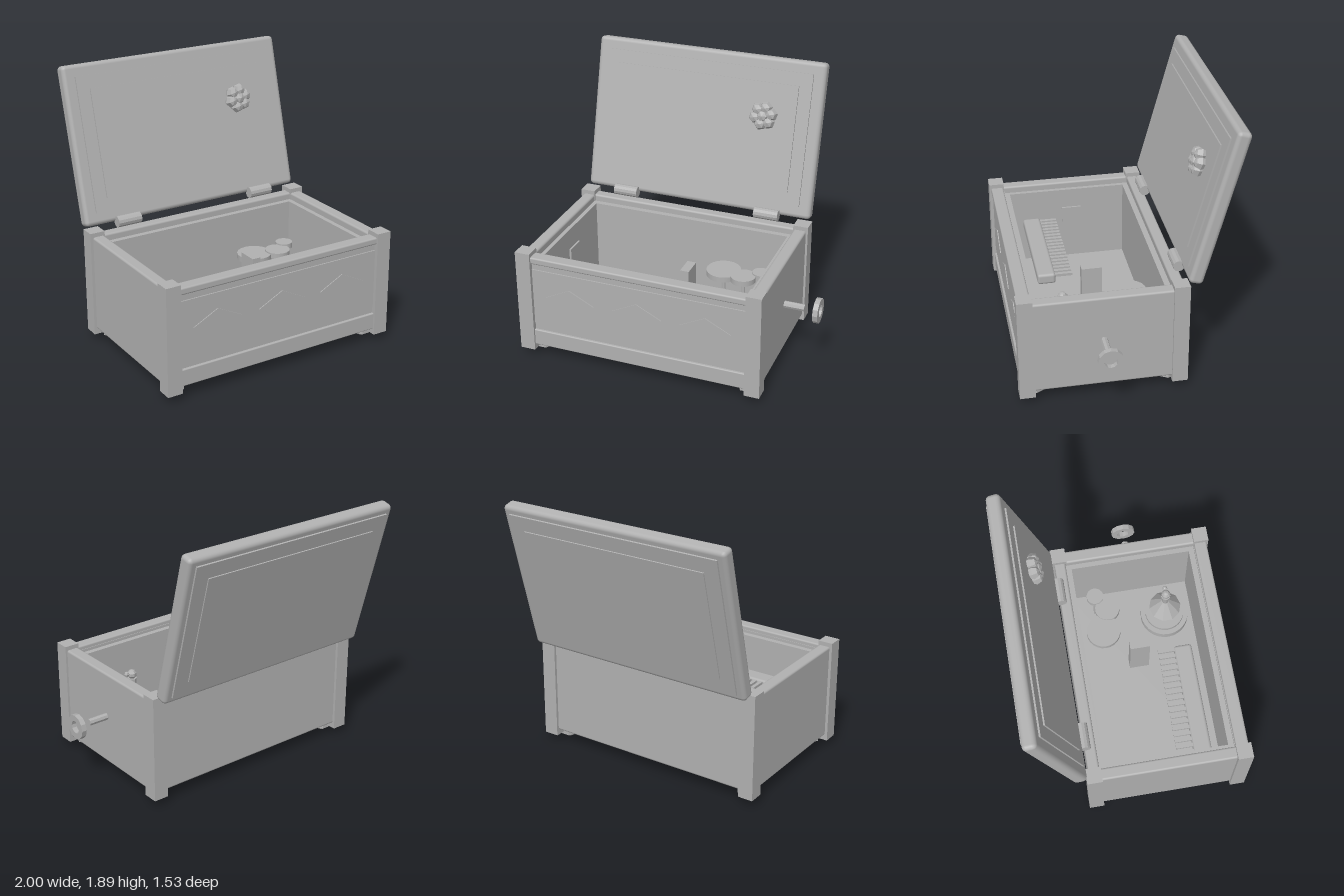
import * as THREE from 'three';
import { RoundedBoxGeometry } from 'three/addons/geometries/RoundedBoxGeometry.js';

const grey = new THREE.MeshStandardMaterial({ color: 0xb0b0b0 });
grey.name = 'plainGrey';
const CX = -0.12, CZ = 0.19; // centre of the box

function add(parent, name, geometry, x = 0, y = 0, z = 0) {
  const mesh = new THREE.Mesh(geometry, grey);
  mesh.name = name;
  mesh.position.set(x, y, z);
  parent.add(mesh);
  return mesh;
}

// Box given by its low and high corners, optionally with rounded edges
function block(parent, name, x0, x1, y0, y1, z0, z1, r = 0) {
  const s = [x1 - x0, y1 - y0, z1 - z0];
  const g = r ? new RoundedBoxGeometry(...s, 2, r) : new THREE.BoxGeometry(...s);
  return add(parent, name, g, (x0 + x1) / 2, (y0 + y1) / 2, (z0 + z1) / 2);
}

// Faceted copy of a geometry
function facet(g) {
  const f = g.toNonIndexed();
  f.computeVertexNormals();
  return f;
}

function cyl(r0, r1, h, n) {
  return facet(new THREE.CylinderGeometry(r0, r1, h, n));
}

function buildBox(root) {
  const box = new THREE.Group();
  box.name = 'box';
  root.add(box);
  // Outer walls, with a lower lining inside
  block(box, 'leftWall', 0.655, 0.745, 0.09, 0.78, -0.33, 0.71, 0.015);
  block(box, 'rightWall', -0.98, -0.895, 0.09, 0.78, -0.33, 0.71, 0.015);
  block(box, 'backWall', -0.94, 0.7, 0.09, 0.78, -0.37, -0.29, 0.015);
  block(box, 'frontWall', -0.94, 0.7, 0.09, 0.75, 0.66, 0.737);
  block(box, 'frontRim', -0.94, 0.7, 0.73, 0.78, 0.665, 0.755, 0.012);
  block(box, 'frontBaseMoulding', -0.94, 0.7, 0.09, 0.21, 0.73, 0.755, 0.008);
  block(box, 'frontPanel', -0.89, 0.65, 0.255, 0.685, 0.73, 0.746);
  block(box, 'leftLining', 0.62, 0.66, 0.1, 0.73, -0.29, 0.665);
  block(box, 'rightLining', -0.9, -0.865, 0.1, 0.73, -0.29, 0.665);
  block(box, 'backLining', -0.89, 0.65, 0.1, 0.73, -0.3, -0.25);
  block(box, 'frontLining', -0.89, 0.65, 0.1, 0.73, 0.62, 0.67);
  block(box, 'floor', -0.95, 0.71, 0.09, 0.15, -0.34, 0.72);

  // Diamond inlays
  const diamond = new THREE.Shape();
  diamond.moveTo(-0.18, 0).lineTo(0, -0.09).lineTo(0.18, 0).lineTo(0, 0.09).closePath();
  const inlay = new THREE.ExtrudeGeometry(diamond, { depth: 0.006, bevelEnabled: false });
  for (const x of [-0.615, CX, 0.37]) add(box, 'diamondInlay', inlay, x, 0.485, 0.746);

  // Corner posts and faceted feet
  const foot = facet(new THREE.SphereGeometry(0.07, 6, 3));
  for (const sx of [-1, 1]) for (const sz of [-1, 1]) {
    add(box, 'cornerPost', new THREE.BoxGeometry(0.108, 0.76, 0.108),
      CX + sx * 0.826, 0.43, CZ + sz * 0.525);
    add(box, 'foot', foot, CX + sx * 0.755, 0.07, CZ + sz * 0.457);
  }
}

function buildCrank(root) {
  const crank = new THREE.Group();
  crank.name = 'crank';
  crank.position.set(0, 0.45, CZ);
  root.add(crank);
  add(crank, 'crankRod', cyl(0.025, 0.025, 0.17, 8), 0.805).rotation.z = Math.PI / 2;
  // Ring with a square section
  const section = [[0.045, -0.018], [0.088, -0.018], [0.088, 0.018], [0.045, 0.018], [0.045, -0.018]];
  const ring = facet(new THREE.LatheGeometry(section.map(p => new THREE.Vector2(...p)), 12));
  add(crank, 'crankRing', ring, 0.982).rotation.z = Math.PI / 2;
}

function buildLid(root) {
  const lid = new THREE.Group();
  lid.name = 'lid';
  lid.position.set(CX, 1.345, -0.57);
  lid.rotation.x = -Math.PI / 12;
  root.add(lid);
  add(lid, 'lidBoard', new RoundedBoxGeometry(1.72, 1.115, 0.1, 2, 0.03));
  // Stepped panels on both faces
  add(lid, 'innerPanel', new THREE.BoxGeometry(1.55, 0.947, 0.03), 0, 0, 0.047);
  add(lid, 'innerPanelStep', new THREE.BoxGeometry(1.365, 0.76, 0.03), 0, 0, 0.058);
  add(lid, 'outerPanel', new THREE.BoxGeometry(1.61, 1.01, 0.03), 0, 0, -0.047);
  add(lid, 'outerPanelStep', new THREE.BoxGeometry(1.4, 0.8, 0.03), 0, 0, -0.055);

  // Faceted flower
  const flower = new THREE.Group();
  flower.name = 'flower';
  flower.position.set(0.455, 0.145, 0.095);
  lid.add(flower);
  const petal = facet(new THREE.SphereGeometry(0.048, 6, 4));
  for (let i = 0; i < 6; i++) {
    const a = i * Math.PI / 3 + 0.25;
    const p = add(flower, 'petal', petal, 0.06 * Math.cos(a), 0.06 * Math.sin(a), 0);
    p.rotation.set(Math.PI / 2, 0, 0);
    p.rotateY(a);
  }
  add(flower, 'flowerHeart', petal, 0, 0, 0.008).rotation.x = Math.PI / 2;

  // Hinge barrels
  for (const x of [-0.665, 0.425]) {
    add(root, 'hinge', cyl(0.04, 0.04, 0.18, 12), x, 0.82, -0.365).rotation.z = Math.PI / 2;
  }
}

function buildWorks(root) {
  const works = new THREE.Group();
  works.name = 'musicWorks';
  root.add(works);
  // Bearing blocks
  block(works, 'bearingBlock', -0.01, 0.055, 0.15, 0.58, 0.08, 0.225);
  block(works, 'bearingBlock', -0.89, -0.851, 0.46, 0.58, 0.08, 0.225);
  // Comb with a row of teeth
  block(works, 'combBase', -0.845, -0.015, 0.44, 0.52, 0.4, 0.53, 0.02);
  for (let i = 0; i < 18; i++) {
    const x = -0.812 + i * 0.0455;
    block(works, 'combTooth', x - 0.013, x + 0.013, 0.49, 0.51, 0.28, 0.42);
  }
  // Gear wheels on arbors
  for (const [x, z, r, y] of [[0.205, -0.085, 0.125, 0.45], [0.37, -0.03, 0.09, 0.46], [0.478, -0.105, 0.062, 0.47]]) {
    add(works, 'gearWheel', new THREE.CylinderGeometry(r, r, 0.04, 24), x, y, z);
    add(works, 'gearArbor', cyl(0.015, 0.015, y - 0.15, 8), x, (y + 0.15) / 2, z);
  }

  // Small dancer on a stepped turntable
  const dancer = new THREE.Group();
  dancer.name = 'dancer';
  dancer.position.set(0.37, 0.15, 0.41);
  works.add(dancer);
  add(dancer, 'turntable', new THREE.CylinderGeometry(0.18, 0.18, 0.06, 28), 0, 0.03);
  add(dancer, 'turntableStep', new THREE.CylinderGeometry(0.145, 0.145, 0.03, 28), 0, 0.075);
  add(dancer, 'legs', cyl(0.02, 0.02, 0.13, 6), 0, 0.15);
  add(dancer, 'skirt', cyl(0.03, 0.12, 0.12, 10), 0, 0.25);
  add(dancer, 'torso', cyl(0.035, 0.025, 0.1, 8), 0, 0.35);
  add(dancer, 'head', facet(new THREE.SphereGeometry(0.035, 8, 5)), 0, 0.43);
  add(dancer, 'hairBun', facet(new THREE.SphereGeometry(0.02, 6, 4)), 0.045, 0.44);
}

export function createModel() {
  const root = new THREE.Group();
  root.name = 'musicBox';
  buildBox(root);
  buildCrank(root);
  buildLid(root);
  buildWorks(root);
  return root;
}
